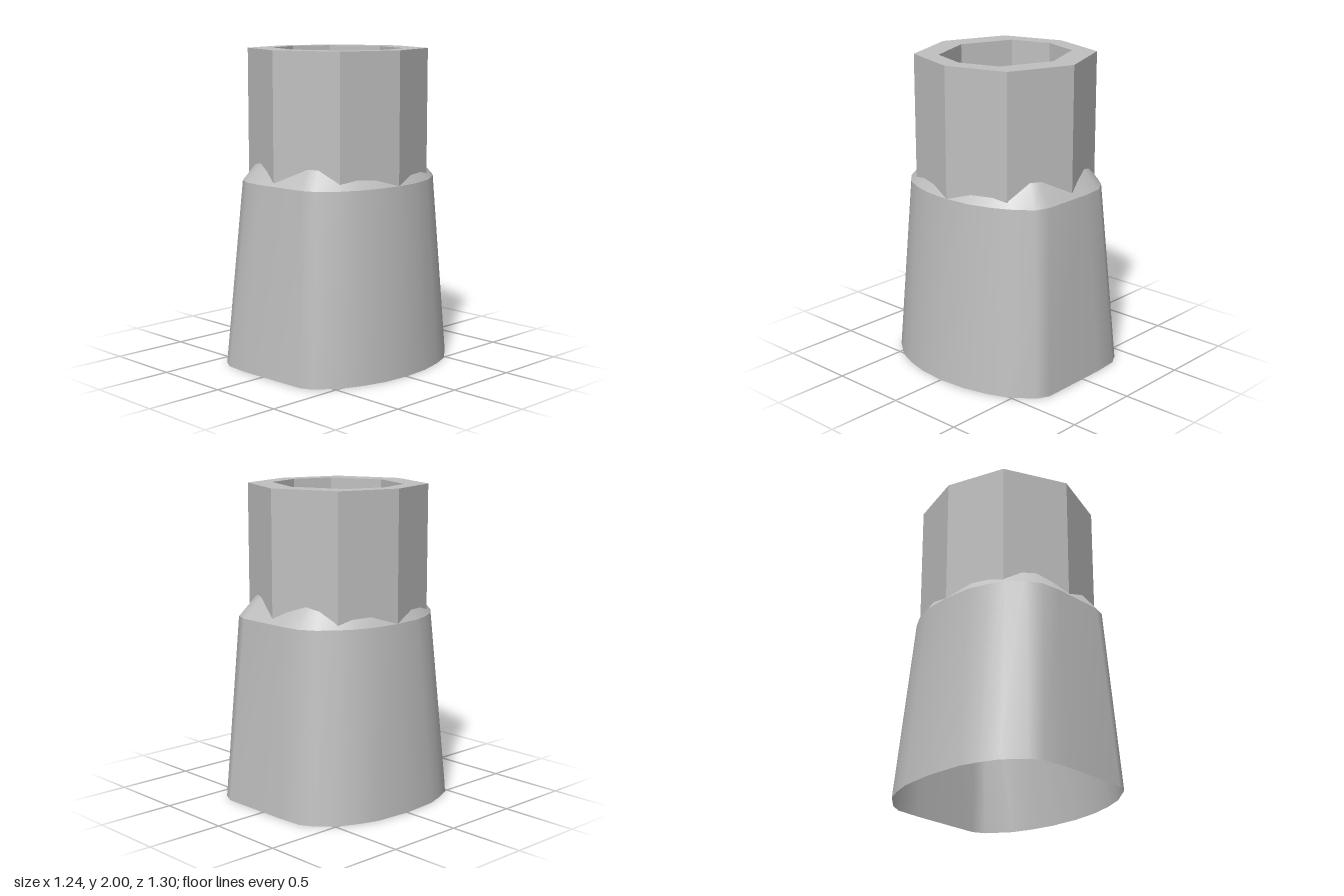
import * as THREE from 'three';

// Joins closed loops of [x, y, z] points, bottom to top, into an outward-facing skin.
function loft(loops, flat) {
  const n = loops[0].length;
  const index = [];
  for (let r = 0; r < loops.length - 1; r++) {
    for (let i = 0; i < n; i++) {
      const a = r * n + i, b = r * n + (i + 1) % n;
      index.push(a, a + n, b, b, a + n, b + n);
    }
  }
  let geo = new THREE.BufferGeometry();
  geo.setAttribute('position', new THREE.Float32BufferAttribute(loops.flat(2), 3));
  geo.setIndex(index);
  if (flat) geo = geo.toNonIndexed();
  geo.computeVertexNormals();
  return geo;
}

const ring = (pts, y, s = 1) => pts.map(([x, z]) => [x * s, y, z * s]);

// Octagon with slightly uneven half-widths; dx, dz are its diagonal corners
const octagon = (rx, rz, dx, dz) => [
  [0, -rz], [dx, -dz], [rx, 0], [dx, dz], [0, rz], [-dx, dz], [-rx, 0], [-dx, -dz],
].map(([x, z]) => [x + 0.01, z]);

export function createModel() {
  const group = new THREE.Group();
  const grey = new THREE.MeshStandardMaterial({ color: 0xc0c0c0, side: THREE.DoubleSide });
  grey.name = 'grey';

  const add = (name, geo) => {
    const mesh = new THREE.Mesh(geo, grey);
    mesh.name = name;
    group.add(mesh);
  };

  // Flared skirt outlines [x, z]: flat front and back, bowed sides
  const foot = [
    [-0.32, -0.635], [-0.15, -0.648], [0.32, -0.653], [0.4, -0.615], [0.51, -0.475],
    [0.56, -0.35], [0.6, -0.19], [0.615, 0], [0.6, 0.18], [0.56, 0.33], [0.51, 0.45],
    [0.4, 0.595], [0.32, 0.63], [-0.15, 0.647], [-0.32, 0.635], [-0.4, 0.59],
    [-0.51, 0.47], [-0.56, 0.36], [-0.6, 0.24], [-0.62, 0], [-0.6, -0.24],
    [-0.56, -0.36], [-0.51, -0.47], [-0.4, -0.59],
  ];
  const shoulder = [
    [-0.24, -0.555], [-0.1, -0.57], [0.25, -0.572], [0.34, -0.54], [0.43, -0.42],
    [0.48, -0.32], [0.525, -0.17], [0.54, 0], [0.525, 0.17], [0.49, 0.3], [0.44, 0.41],
    [0.34, 0.52], [0.26, 0.55], [-0.1, 0.565], [-0.23, 0.553], [-0.33, 0.5],
    [-0.41, 0.41], [-0.46, 0.32], [-0.505, 0.19], [-0.52, 0], [-0.505, -0.19],
    [-0.46, -0.32], [-0.4, -0.42], [-0.33, -0.5],
  ];
  add('skirt', loft([ring(foot, 0), ring(shoulder, 1.18)], false));

  // Sloping shoulder that cuts into the octagonal neck in scallops
  add('shoulder', loft([ring(shoulder, 1.18), ring(shoulder, 1.335, 0.79)], false));

  // Octagonal neck with a shallow recess in its top
  const outer = octagon(0.53, 0.547, 0.41, 0.387);
  const inner = octagon(0.41, 0.385, 0.33, 0.253);
  add('neck', loft([ring(outer, 1.17), ring(outer, 2), ring(inner, 2), ring(inner, 1.76)], true));
  add('recessFloor', loft([ring(inner, 1.76), inner.map(() => [0.01, 1.76, 0])], true));

  return group;
}
